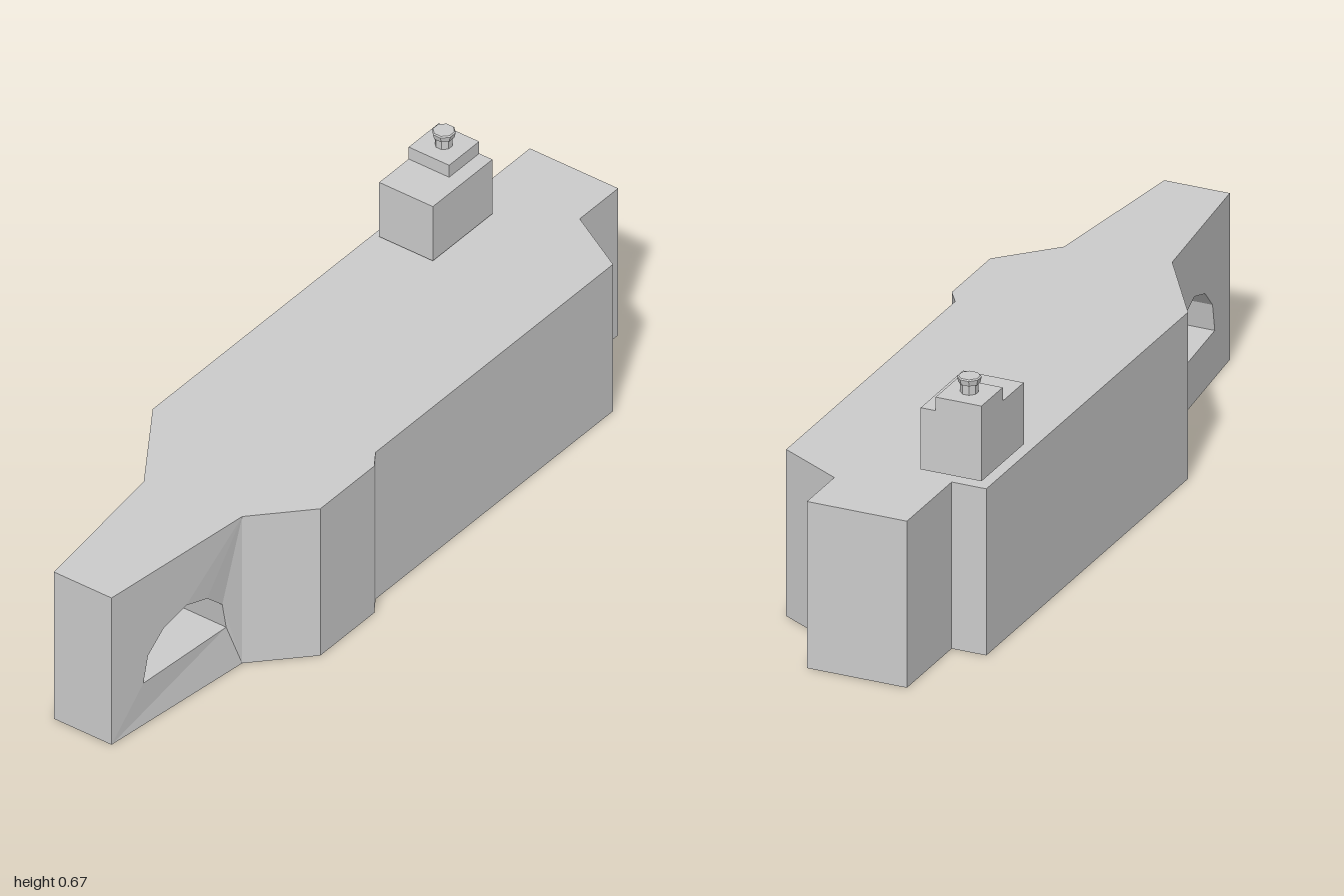
import * as THREE from 'three';

const HEIGHT = 0.43;
const material = new THREE.MeshStandardMaterial({ color: 0xcccccc, flatShading: true });

function add(parent, name, geometry) {
  const mesh = new THREE.Mesh(geometry, material);
  mesh.name = name;
  parent.add(mesh);
  return mesh;
}

// Box given by its limits on each axis
function boxBetween([x0, x1], [y0, y1], [z0, z1]) {
  return new THREE.BoxGeometry(x1 - x0, y1 - y0, z1 - z0)
    .translate((x0 + x1) / 2, (y0 + y1) / 2, (z0 + z1) / 2);
}

// Main hull: plan outline (x, z) raised to full height
function hullGeometry() {
  const plan = [
    [-0.185, -1], [0.075, -1], [0.075, -0.85], [0.245, -0.755], [0.245, 0.17],
    [0.275, 0.215], [0.275, 0.425], [0.147, 0.56], [-0.12, 0.59],
    [-0.275, 0.35], [-0.275, -0.755], [-0.185, -0.755],
  ];
  const shape = new THREE.Shape(plan.map(([x, z]) => new THREE.Vector2(x, -z)));
  return new THREE.ExtrudeGeometry(shape, { depth: HEIGHT, bevelEnabled: false })
    .rotateX(-Math.PI / 2);
}

// Tapered nose: side profile with an arched opening, walls moved in toward the tip
function noseGeometry() {
  const root = 0.5;
  const toPoint = ([z, y]) => new THREE.Vector2(-z, y);
  const shape = new THREE.Shape(
    [[1, 0], [root, 0], [root, HEIGHT], [1, HEIGHT]].map(toPoint));
  const arch = [
    [0.893, 0.122], [0.877, 0.195], [0.824, 0.247], [0.749, 0.272],
    [0.674, 0.25], [0.615, 0.197], [0.6, 0.122],
  ];
  shape.holes.push(new THREE.Path(arch.map(toPoint)));
  const geometry = new THREE.ExtrudeGeometry(shape, { depth: 1, bevelEnabled: false })
    .rotateY(Math.PI / 2);

  const p = geometry.attributes.position;
  for (let i = 0; i < p.count; i++) {
    const y = p.getY(i);
    const leftSide = p.getX(i) > 0.5;
    let z = p.getZ(i);
    if (z < root + 0.01) z = leftSide ? 0.56 : 0.59;
    let x = leftSide
      ? THREE.MathUtils.mapLinear(z, 0.56, 1, 0.147, 0.095)
      : THREE.MathUtils.mapLinear(z, 0.59, 1, -0.12, -0.075);
    // The rear rim of the opening is slightly dented on the left wall
    if (leftSide && y > 0.1 && y < 0.3) x = Math.min(x, 0.13);
    p.setXYZ(i, x, y, z);
  }
  geometry.computeVertexNormals();
  return geometry;
}

// Eight-sided knob made of stacked rings: [bottom y, top y, bottom radius, top radius]
function createKnob() {
  const knob = new THREE.Group();
  knob.name = 'knob';
  const rings = {
    knobStem: [0.632, 0.657, 0.0215, 0.0215],
    knobCap: [0.657, 0.671, 0.026, 0.029],
    knobTop: [0.671, 0.674, 0.029, 0.026],
  };
  for (const [name, [y0, y1, r0, r1]] of Object.entries(rings)) {
    const ring = new THREE.CylinderGeometry(r1, r0, y1 - y0, 8, 1, false, Math.PI / 8);
    add(knob, name, ring.translate(0, (y0 + y1) / 2, 0));
  }
  knob.position.set(-0.193, 0, -0.675);
  return knob;
}

export function createModel() {
  const model = new THREE.Group();
  model.name = 'archedBlock';

  add(model, 'hull', hullGeometry());
  add(model, 'nose', noseGeometry());

  // Stepped tower just above the deck
  const tower = new THREE.Group();
  tower.name = 'tower';
  add(tower, 'towerBase', boxBetween([-0.253, -0.095], [0.437, 0.596], [-0.735, -0.503]));
  add(tower, 'towerStep', boxBetween([-0.253, -0.134], [0.596, 0.631], [-0.735, -0.618]));
  tower.add(createKnob());
  model.add(tower);

  return model;
}
